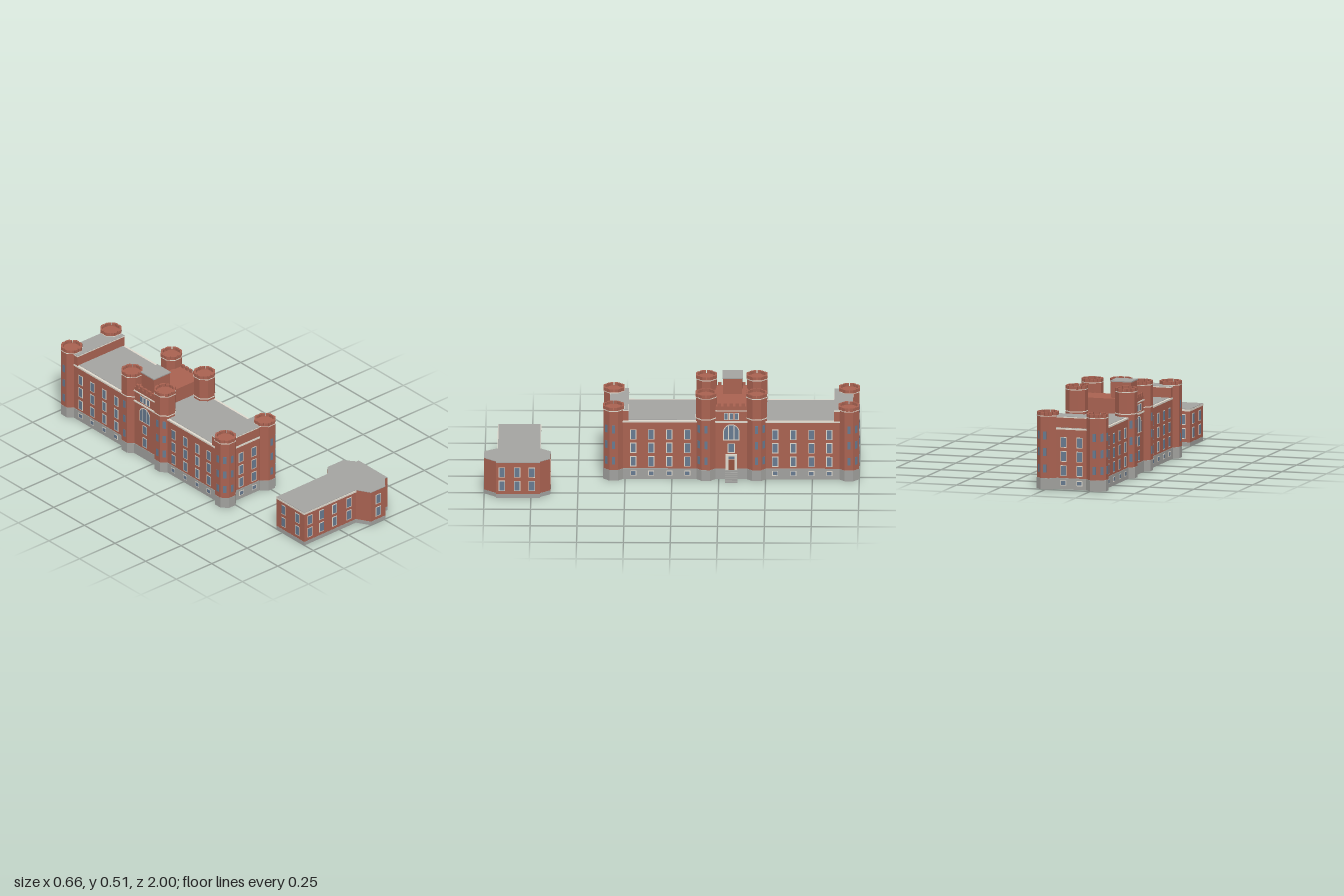
import * as THREE from 'three';

const mat = (name, color, side = THREE.FrontSide) => {
  const m = new THREE.MeshStandardMaterial({ color, side });
  m.name = name;
  return m;
};

export function createModel() {
  const brick = mat('brick', 0xa96251);
  const stone = mat('foundation stone', 0xa1a19e, THREE.DoubleSide);
  const roof = mat('roof grey', 0xa4a4a1);
  const trim = mat('pale trim', 0xdfd9cd);
  const glass = mat('window glass', 0x677a90);
  const doorRed = mat('door', 0x95523f);

  const add = (parent, name, geo, material) => {
    const m = new THREE.Mesh(geo, material);
    m.name = name;
    parent.add(m);
    return m;
  };
  const group = (parent, name, x = 0, y = 0, z = 0, ry = 0) => {
    const g = new THREE.Group();
    g.name = name;
    g.position.set(x, y, z);
    g.rotation.y = ry;
    if (parent) parent.add(g);
    return g;
  };
  // box from its limits
  const box = (parent, name, material, x0, x1, y0, y1, z0, z1) => {
    const m = add(parent, name, new THREE.BoxGeometry(x1 - x0, y1 - y0, z1 - z0), material);
    m.position.set((x0 + x1) / 2, (y0 + y1) / 2, (z0 + z1) / 2);
    return m;
  };
  // octagonal prism with flat sides facing the axes
  const octagon = (parent, name, material, apothem, y0, y1) => {
    const r = apothem / Math.cos(Math.PI / 8);
    const geo = new THREE.CylinderGeometry(r, r, y1 - y0, 8).rotateY(Math.PI / 8).toNonIndexed();
    geo.computeVertexNormals();
    add(parent, name, geo, material).position.y = (y0 + y1) / 2;
  };
  const planShape = (plan) => new THREE.Shape(plan.map(([x, z]) => new THREE.Vector2(x, -z)));
  // foundation: upright panels around a plan, a floor on top, open below
  const foundation = (parent, plan, height) => {
    const g = group(parent, 'foundation');
    plan.forEach(([x0, z0], i) => {
      const [x1, z1] = plan[(i + 1) % plan.length];
      const panel = add(g, 'foundationWall', new THREE.PlaneGeometry(Math.hypot(x1 - x0, z1 - z0), height), stone);
      panel.position.set((x0 + x1) / 2, height / 2, (z0 + z1) / 2);
      panel.rotation.y = Math.atan2(z0 - z1, x1 - x0);
    });
    add(g, 'foundationFloor', new THREE.ShapeGeometry(planShape(plan)).rotateX(-Math.PI / 2), stone).position.y = height;
  };
  // thin window plate, facing (sin ry, 0, cos ry)
  const pane = (parent, x, y, z, ry, w = 0.026, h = 0.05, frame = 0.004) => {
    const g = group(parent, 'window', x, y, z, ry);
    if (frame) box(g, 'windowFrame', trim, -w / 2 - frame, w / 2 + frame, -h / 2 - frame, h / 2 + frame, -0.001, 0.001);
    box(g, 'windowGlass', glass, -w / 2, w / 2, -h / 2, h / 2, -0.001, frame ? 0.0018 : 0.0008);
  };

  const model = group(null, 'castleBarracks');

  // ---- main hall, built around its own centre ----
  const hall = group(model, 'mainHall', -0.1345, 0, -0.317);
  const X = 0.165, Z = 0.647, FX = X + 0.002, FZ = Z + 0.002;
  foundation(hall, [[-FX, FZ], [FX, FZ], [FX, -FZ], [-FX, -FZ]], 0.06);
  box(hall, 'hallWalls', brick, -X, X, 0.0605, 0.326, -Z, Z);
  box(hall, 'hallCornice', trim, -X - 0.003, X + 0.003, 0.322, 0.331, -Z - 0.004, Z + 0.004);
  box(hall, 'hallRoof', roof, -X + 0.011, X - 0.011, 0.328, 0.333, -Z, Z);

  // raised end blocks
  for (const s of [-1, 1]) {
    const end = group(hall, 'endBlock', 0, 0, s * 0.598);
    box(end, 'endWall', brick, -X, X, 0.32, 0.386, -0.049, 0.049);
    box(end, 'endCap', trim, -X - 0.002, X + 0.002, 0.386, 0.392, -0.051, 0.051);
    box(end, 'endRoof', roof, -X - 0.001, X + 0.001, 0.39, 0.394, -0.05, 0.05);
    const ry = s > 0 ? 0 : Math.PI;
    for (const x of [-0.045, 0.045]) {
      for (const y of [0.253, 0.177, 0.1]) pane(hall, x, y, s * Z, ry);
      pane(hall, x, 0.034, s * FZ, ry, 0.024, 0.02);
    }
  }

  // wing windows on both long sides
  for (const sx of [-1, 1])
    for (const sz of [-1, 1])
      for (const z of [0.234, 0.331, 0.428, 0.523]) {
        for (const y of [0.253, 0.177, 0.1]) pane(hall, sx * X, y, sz * z, sx * Math.PI / 2);
        pane(hall, sx * FX, 0.034, sz * z, sx * Math.PI / 2, 0.024, 0.02);
      }

  // octagonal towers
  const corner = 0.0555 / Math.cos(Math.PI / 8);
  const octagonPlan = Array.from({ length: 8 }, (_, k) => {
    const a = (k - 0.5) * Math.PI / 4;
    return [corner * Math.sin(a), corner * Math.cos(a)];
  });
  const tower = (x, z, top, faces) => {
    const t = group(hall, 'tower', x, 0, z);
    foundation(t, octagonPlan, 0.06);
    octagon(t, 'towerShaft', brick, 0.0545, 0.0605, top - 0.022);
    octagon(t, 'towerBand', trim, 0.0568, top - 0.022, top - 0.018);
    octagon(t, 'towerDeck', brick, 0.055, top - 0.018, top - 0.016);
    if (top > 0.45) octagon(t, 'towerString', trim, 0.0565, 0.345, 0.35);
    for (let k = 0; k < 8; k++) {
      const side = group(t, 'crownSide', 0, 0, 0, k * Math.PI / 4);
      for (const c of [-0.0118, 0.0118])
        box(side, 'merlon', brick, c - 0.0092, c + 0.0092, top - 0.018, top, 0.045, 0.0558);
    }
    for (const a of faces)
      for (const y of [0.291, 0.202, 0.112])
        pane(t, Math.sin(a) * 0.0545, y, Math.cos(a) * 0.0545, a, 0.017, 0.043, 0);
  };
  for (const sx of [-1, 1])
    for (const sz of [-1, 1]) {
      const outward = Math.atan2(sx, 0), diagonal = Math.atan2(sx, sz), along = Math.atan2(0, sz);
      tower(sx * 0.139, sz * 0.628, 0.415, [outward, diagonal, along]);
      tower(sx * 0.139, sz * 0.135, 0.486, [outward, diagonal]);
    }

  // central gatehouse with battlements
  const gate = group(hall, 'gatehouse');
  box(gate, 'gateWalls', brick, -X, X, 0.32, 0.413, -0.087, 0.087);
  for (const s of [-1, 1]) {
    const f = group(gate, 'gateFacade', s * X, 0, 0, s * Math.PI / 2);
    box(f, 'gateString', trim, -0.085, 0.085, 0.322, 0.329, -0.002, 0.005);
    box(f, 'gateCornice', trim, -0.085, 0.085, 0.386, 0.392, -0.002, 0.005);
    for (let i = -2; i <= 2; i++)
      box(f, 'gateMerlon', brick, i * 0.032 - 0.009, i * 0.032 + 0.009, 0.412, 0.43, -0.012, 0);
    for (const x of [-0.028, 0, 0.028]) pane(f, x, 0.357, 0, 0, 0.016, 0.032, 0.004);
    pane(f, 0, 0.177, 0, 0, 0.03, 0.046);
    // large arched window
    const arch = (w, y0, y1) => new THREE.Shape()
      .moveTo(-w, y0).lineTo(w, y0).lineTo(w, y1).absarc(0, y1, w, 0, Math.PI).lineTo(-w, y0);
    const plate = (shape, depth) => new THREE.ExtrudeGeometry(shape, { depth, bevelEnabled: false, curveSegments: 10 });
    add(f, 'archFrame', plate(arch(0.044, 0.221, 0.268), 0.001), trim);
    add(f, 'archGlass', plate(arch(0.039, 0.226, 0.268), 0.002), glass);
    for (const x of [-0.015, 0.015]) box(f, 'archMullion', trim, x - 0.002, x + 0.002, 0.226, 0.303, 0, 0.003);
    if (s < 0) pane(f, 0, 0.1, 0, 0);
  }
  // door and front steps on the +x side
  const entry = group(hall, 'entry', X, 0, 0, Math.PI / 2);
  box(entry, 'doorFrame', trim, -0.03, 0.03, 0.05, 0.142, -0.002, 0.004);
  box(entry, 'doorLeaf', doorRed, -0.016, 0.016, 0.052, 0.112, 0, 0.005);
  box(entry, 'doorLight', glass, -0.016, 0.016, 0.116, 0.13, 0, 0.005);
  for (let i = 0; i < 6; i++)
    box(entry, 'step', stone, -0.034, 0.034, i * 0.009, (i + 1) * 0.009, 0, 0.058 - i * 0.0085);

  // rooftop house
  box(model, 'roofHouse', brick, -0.274, -0.161, 0.41, 0.5, -0.373, -0.272);
  box(model, 'roofHouseCap', roof, -0.278, -0.158, 0.5, 0.506, -0.377, -0.268);

  // ---- separate annex with a bay-shaped head ----
  const annex = group(model, 'annex');
  const plan = [[-0.252, 0.929], [0.114, 0.926], [0.158, 1], [0.258, 1], [0.312, 0.936], [0.328, 0.936],
    [0.328, 0.702], [0.312, 0.702], [0.268, 0.645], [0.158, 0.645], [0.114, 0.7], [-0.252, 0.704]];
  const slab = (name, material, y0, y1) => {
    const geo = new THREE.ExtrudeGeometry(planShape(plan), { depth: y1 - y0, bevelEnabled: false });
    add(annex, name, geo.rotateX(-Math.PI / 2), material).position.y = y0;
  };
  foundation(annex, plan, 0.022);
  slab('annexWalls', brick, 0.0225, 0.2);
  slab('annexRoof', roof, 0.2, 0.203);
  box(annex, 'annexFrontBand', trim, -0.253, 0.114, 0.19, 0.2, 0.92, 0.931);
  box(annex, 'annexBackBand', trim, -0.253, 0.114, 0.19, 0.2, 0.699, 0.71);
  box(annex, 'annexEndBand', trim, -0.254, -0.248, 0.19, 0.2, 0.699, 0.931);
  for (const y of [0.145, 0.069]) {
    for (const x of [-0.211, -0.129, -0.038, 0.063]) {
      pane(annex, x, y, 0.9285, 0, 0.027, 0.05);
      pane(annex, x, y, 0.7015, Math.PI, 0.027, 0.05);
    }
    pane(annex, 0.208, y, 1, 0, 0.027, 0.05);
    pane(annex, 0.213, y, 0.645, Math.PI, 0.027, 0.05);
    for (const z of [0.905, 0.823, 0.745]) pane(annex, 0.328, y, z, Math.PI / 2, 0.027, 0.05);
    for (const z of [0.76, 0.872]) pane(annex, -0.252, y, z, -Math.PI / 2, 0.027, 0.05);
  }
  return model;
}
